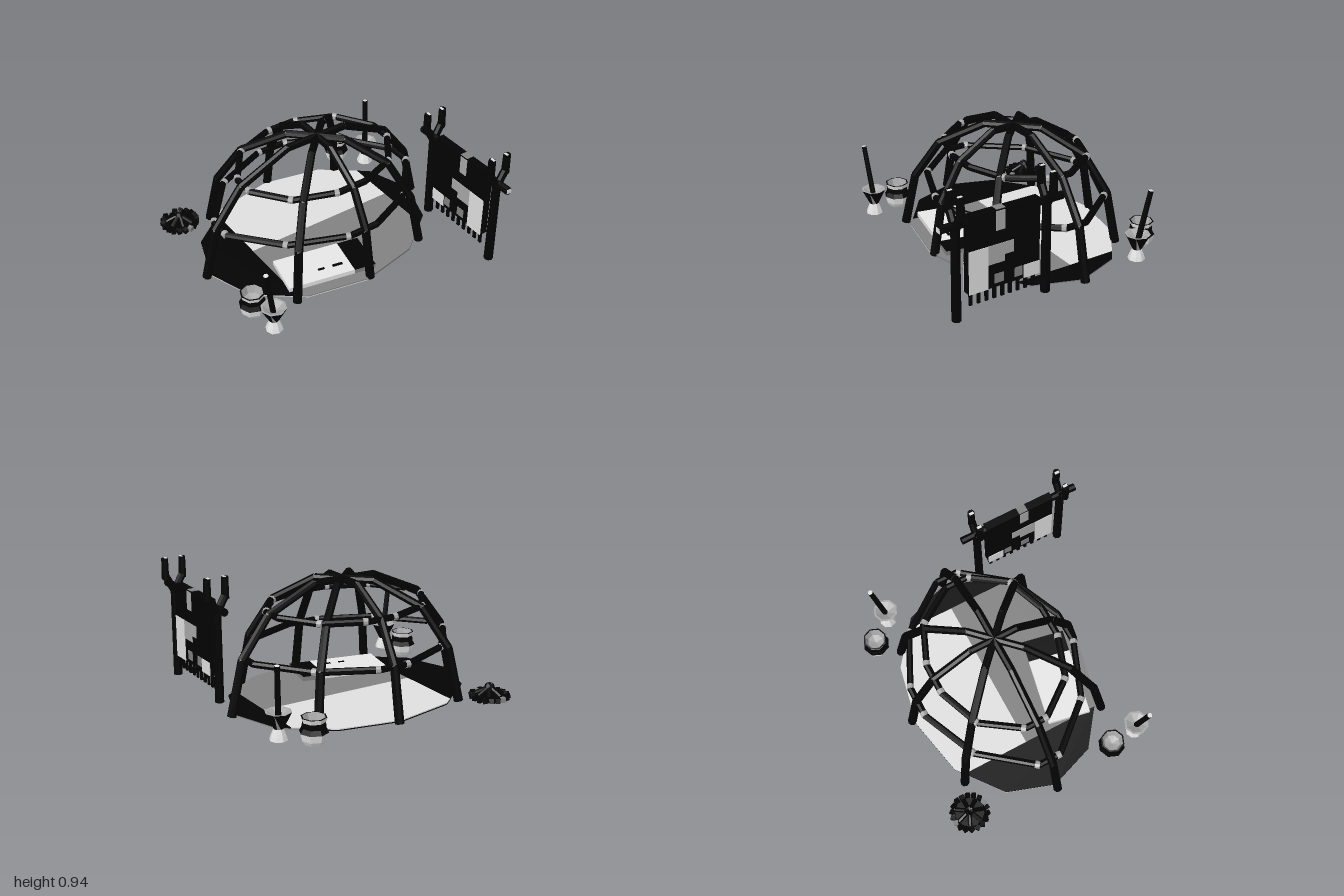
import * as THREE from 'three';

const mat = (name, color) => new THREE.MeshStandardMaterial({ name, color, flatShading: true });

export function createModel() {
  const model = new THREE.Group();
  const black = mat('black wood', 0x030303);
  const grey = mat('mid grey', 0x828282);
  const light = mat('light grey', 0xa8a8a8);
  const pale = mat('pale grey', 0xe0e0e0);
  const white = mat('off white', 0xf8f8f8);
  const V = (x, y, z) => new THREE.Vector3(x, y, z);

  const add = (name, geo, material, parent = model) => {
    const m = new THREE.Mesh(geo, material);
    m.name = name;
    parent.add(m);
    return m;
  };
  // Straight pole between two points, with cut ends of their own colour
  const pole = (name, a, b, r0, r1 = r0, side = black, ends = side, parent = model) => {
    const d = b.clone().sub(a);
    const m = add(name, new THREE.CylinderGeometry(r1, r0, d.length(), 8), [side, ends, ends], parent);
    m.position.copy(a).add(b).multiplyScalar(0.5);
    m.quaternion.setFromUnitVectors(V(0, 1, 0), d.normalize());
    return m;
  };
  const box = (name, size, pos, material, parent = model) => {
    const m = add(name, new THREE.BoxGeometry(...size), material, parent);
    m.position.set(...pos);
    return m;
  };

  // Floor: twelve-sided oval cut into coloured panels, with a separate underside
  const clip = (pts, axis, limit, sign) => {
    const out = [];
    pts.forEach((p, i) => {
      const q = pts[(i + 1) % pts.length];
      const dp = (p[axis] - limit) * sign, dq = (q[axis] - limit) * sign;
      if (dp >= 0) out.push(p);
      if (dp * dq < 0) out.push(p.clone().lerp(q, dp / (dp - dq)));
    });
    return out;
  };
  const oval = [];
  for (let i = 0; i < 12; i++) {
    const a = i * Math.PI / 6;
    oval.push(new THREE.Vector2(-0.01 + 0.925 * Math.cos(a), -0.163 + 0.71 * Math.sin(a)));
  }
  const panel = (name, pts, top, material) => {
    const g = new THREE.ExtrudeGeometry(new THREE.Shape(pts), { depth: 0.008, bevelEnabled: false });
    g.rotateX(Math.PI / 2).translate(0, top, 0);
    add(name, g, material);
  };
  const middle = clip(clip(oval, 'x', -0.54, 1), 'x', 0.71, -1);
  panel('floorLeftEnd', clip(oval, 'x', -0.54, -1), 0.016, black);
  panel('floorRightEnd', clip(oval, 'x', 0.71, 1), 0.016, black);
  panel('floorBack', clip(middle, 'y', -0.2, -1), 0.016, pale);
  panel('floorFront', clip(middle, 'y', -0.2, 1), 0.016, grey);
  const under = clip(oval, 'y', -0.72, 1);
  panel('undersideEdge', clip(oval, 'y', -0.72, -1), 0.008, black);
  panel('undersideLeft', clip(under, 'x', 0, 1), 0.008, grey);
  panel('undersideRight', clip(under, 'x', 0, -1), 0.008, pale);

  // Dome: eight bent half poles meeting in a flat crown
  const cx = 0.024, cz = -0.16;
  const profile = [[1, 0], [0.9, 0.4], [0.67, 0.69], [0.26, 0.87], [0, 0.87]];
  const feet = [
    [0.945, -0.16], [0.59, 0.39], [0.024, 0.53], [-0.565, 0.445],
    [-0.965, -0.16], [-0.595, -0.755], [0.024, -0.89], [0.575, -0.715],
  ];
  feet.forEach(([fx, fz]) => {
    const rib = new THREE.Group();
    rib.name = 'domePole';
    model.add(rib);
    const pts = profile.map(([t, y]) => V(cx + (fx - cx) * t, y, cz + (fz - cz) * t));
    for (let i = 0; i < pts.length - 1; i++) {
      const r0 = 0.028 + 0.006 * (1 - pts[i].y), r1 = 0.028 + 0.006 * (1 - pts[i + 1].y);
      pole('poleSection', pts[i], pts[i + 1], r0, r1, black, black, rib);
      if (i) add('poleBend', new THREE.IcosahedronGeometry(r0, 0), black, rib).position.copy(pts[i]);
    }
  });

  // Two horizontal hoops, a little tighter at the front and left, lashed at most corners
  const hoop = (y, quarter) => {
    const g = new THREE.Group();
    g.name = 'hoop';
    model.add(g);
    const back = quarter.slice().reverse();
    const pts = [
      ...quarter,
      ...back.map(([x, z]) => [-x, z]),
      ...quarter.map(([x, z]) => [-x, -z]),
      ...back.map(([x, z]) => [x, -z]),
    ].map(([x, z]) => V(cx + x * (x > 0 ? 0.925 : 1), y, cz + z * (z > 0 ? 0.92 : 1)));
    pts.forEach((p, i) => {
      const q = pts[(i + 1) % pts.length];
      pole('hoopSection', p, q, 0.025, 0.025, black, black, g);
      if (i === 2 || i === 11) return;
      const d = q.clone().sub(p).normalize();
      pole('lashing', p.clone().addScaledVector(d, -0.005), p.clone().addScaledVector(d, 0.03),
        0.028, 0.028, light, light, g);
    });
  };
  hoop(0.39, [[0.85, 0.09], [0.55, 0.465], [0.125, 0.65]]);
  hoop(0.69, [[0.635, 0.09], [0.44, 0.37], [0.125, 0.49]]);

  // Sleeping mat with a dark folded end
  const bed = new THREE.Group();
  bed.name = 'sleepingMat';
  bed.position.set(-0.195, 0, 0.25);
  bed.rotation.y = -0.2;
  model.add(bed);
  box('matBody', [0.52, 0.038, 0.33], [-0.085, 0.033, 0], white, bed);
  box('matEnd', [0.17, 0.036, 0.33], [0.26, 0.032, 0], [grey, grey, black, grey, grey, grey], bed);
  box('matMark', [0.08, 0.004, 0.025], [0.08, 0.053, 0.06], black, bed);
  box('matMark', [0.05, 0.004, 0.02], [-0.05, 0.053, 0.06], black, bed);

  // Drying rack: two forked posts and a crossbar
  const rx = 0.886;
  [0.145, 0.86].forEach(z => {
    pole('rackPost', V(rx, 0, z), V(rx, 0.7, z), 0.035, 0.032);
    [-1, 1].forEach(s => {
      pole('forkBranch', V(rx, 0.67, z), V(rx + s * 0.068, 0.79, z), 0.03, 0.03);
      pole('forkTip', V(rx + s * 0.07, 0.77, z), V(rx + s * 0.07, 0.93, z), 0.03, 0.027);
      box('forkTipCut', [0.02, 0.004, 0.036], [rx + s * 0.062, 0.931, z], pale);
    });
  });
  pole('rackCrossbar', V(rx, 0.705, 0.02), V(rx, 0.705, 0.985), 0.03);
  box('crossbarCut', [0.04, 0.036, 0.004], [rx + 0.003, 0.705, 0.986], pale);

  // Hanging blanket with patches on both faces and a fringe
  box('blanket', [0.062, 0.57, 0.56], [rx, 0.465, 0.5], black);
  const patches = [ // z0, z1, y0, y1, colour
    [0.63, 0.78, 0.18, 0.5, pale], [0.43, 0.63, 0.41, 0.5, light], [0.5, 0.63, 0.36, 0.41, light],
    [0.5, 0.57, 0.6, 0.74, light], [0.22, 0.35, 0.18, 0.28, pale], [0.36, 0.42, 0.21, 0.28, grey],
    [0.51, 0.58, 0.21, 0.28, grey],
  ];
  patches.forEach(([z0, z1, y0, y1, m]) => [-1, 1].forEach(s =>
    box('blanketPatch', [0.005, y1 - y0, z1 - z0], [rx + s * 0.033, (y0 + y1) / 2, (z0 + z1) / 2], m)));
  box('blanketTopPatch', [0.06, 0.005, 0.07], [rx, 0.752, 0.53], grey);
  for (let i = 0; i < 9; i++) {
    box('blanketFringe', [0.015, 0.11, 0.025], [rx, 0.135, 0.25 + i * 0.0625], black);
  }

  // Clay pots: white base, dark shoulder, pale rim around a grey hollow
  const lathe = (name, pts, material, parent) =>
    add(name, new THREE.LatheGeometry(pts.map(p => new THREE.Vector2(...p)), 8), material, parent);
  const pot = (x, z) => {
    const g = new THREE.Group();
    g.name = 'pot';
    g.position.set(x, 0, z);
    model.add(g);
    lathe('potBase', [[0, 0], [0.072, 0], [0.09, 0.03], [0.102, 0.082]], white, g);
    lathe('potBand', [[0.102, 0.082], [0.084, 0.115], [0.082, 0.155]], black, g);
    lathe('potRim', [[0.082, 0.155], [0.091, 0.187]], white, g);
    lathe('potLip', [[0.091, 0.187], [0.08, 0.188]], black, g);
    lathe('potHollow', [[0.08, 0.188], [0.06, 0.13], [0, 0.11]], light, g);
  };
  pot(-0.88, 0.35);
  pot(0.695, -0.86);

  // Mortars: flared streaked cup on a foot, with a leaning pestle
  const mortar = (x, z, tip) => {
    const g = new THREE.Group();
    g.name = 'mortar';
    g.position.set(x, 0, z);
    model.add(g);
    lathe('mortarFoot', [[0, 0], [0.065, 0], [0.055, 0.03], [0.035, 0.08]], pale, g);
    const cup = lathe('mortarCup', [[0.035, 0.08], [0.095, 0.2]], [black, light], g);
    for (let i = 0; i < 8; i++) {
      cup.geometry.addGroup(i * 6, 3, i % 2);
      cup.geometry.addGroup(i * 6 + 3, 3, 0);
    }
    lathe('mortarInside', [[0.095, 0.2], [0.08, 0.2], [0, 0.15]], light, g);
    pole('pestle', V(0, 0.12, 0), V(tip[0] - x, 0.545, tip[1] - z), 0.022, 0.019, black, pale, g);
  };
  mortar(-0.845, 0.575, [-0.915, 0.605]);
  mortar(0.865, -0.685, [0.905, -0.75]);

  // Fire ring: small stones around a heap of charred wood
  const fire = new THREE.Group();
  fire.name = 'fireRing';
  fire.position.set(-0.82, 0, -0.83);
  model.add(fire);
  add('ashBed', new THREE.CylinderGeometry(0.11, 0.12, 0.03, 12), black, fire).position.y = 0.015;
  for (let i = 0; i < 18; i++) {
    const a = i * Math.PI / 9;
    const s = box('fireStone', [0.034, 0.036, 0.034],
      [0.13 * Math.cos(a), 0.02, 0.13 * Math.sin(a)], i % 9 === 4 ? grey : black, fire);
    s.rotation.set(0.2, i * 1.3, 0.15);
  }
  for (let i = 0; i < 7; i++) {
    const a = i * Math.PI * 2 / 7;
    pole('charredLog', V(0.1 * Math.cos(a), 0.03, 0.1 * Math.sin(a)),
      V(-0.03 * Math.cos(a), 0.1, -0.03 * Math.sin(a)), 0.018, 0.016, black, black, fire);
  }

  return model;
}
